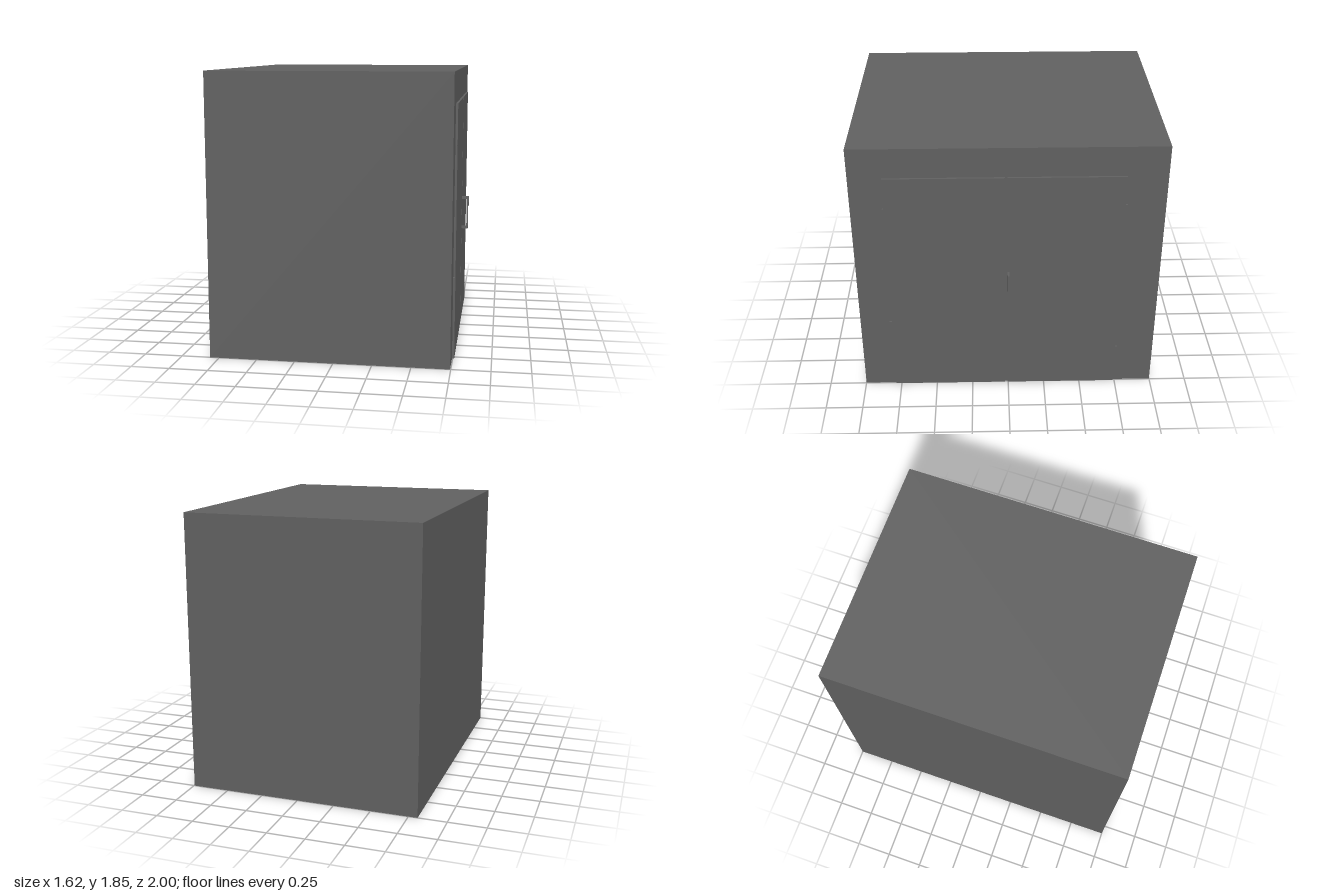
import * as THREE from 'three';

const grey = new THREE.MeshStandardMaterial({ color: 0x606060 });
grey.name = 'grey';

// Box given by its min and max on each axis
function block(name, [x0, x1], [y0, y1], [z0, z1]) {
  const mesh = new THREE.Mesh(new THREE.BoxGeometry(x1 - x0, y1 - y0, z1 - z0), grey);
  mesh.position.set((x0 + x1) / 2, (y0 + y1) / 2, (z0 + z1) / 2);
  mesh.name = name;
  return mesh;
}

export function createModel() {
  const model = new THREE.Group();
  model.name = 'cabinet';

  // Main box
  const side = 0.746;
  model.add(block('body', [-0.81, side], [0, 1.85], [-1, 1]));

  // Two door leaves, each with a pair of hinges on its outer edge
  const doorFace = 0.76;
  const doors = [
    { name: 'frontDoor', z: [0.022, 0.787], hinges: [[1.385, 1.43, 0.78, 0.797], [0.475, 0.542, 0.78, 0.805]] },
    { name: 'backDoor', z: [-0.74, 0.005], hinges: [[1.4, 1.445, -0.753, -0.735], [0.265, 0.305, -0.753, -0.735]] },
  ];
  for (const { name, z, hinges } of doors) {
    const door = new THREE.Group();
    door.name = name;
    door.add(block('doorPanel', [side, doorFace], [0.002, 1.648], z));
    for (const [y0, y1, z0, z1] of hinges) {
      door.add(block('hinge', [side, doorFace - 0.002], [y0, y1], [z0, z1]));
    }
    model.add(door);
  }

  // Pull handle: two arms and a grip
  const handle = new THREE.Group();
  handle.name = 'handle';
  const width = [-0.007, 0.005];
  handle.add(
    block('upperArm', [doorFace, 0.808], [0.925, 0.943], width),
    block('lowerArm', [doorFace, 0.804], [0.712, 0.729], width),
    block('grip', [0.793, 0.804], [0.729, 0.925], width),
    block('gripTop', [0.804, 0.808], [0.875, 0.925], width),
  );
  model.add(handle);

  return model;
}
